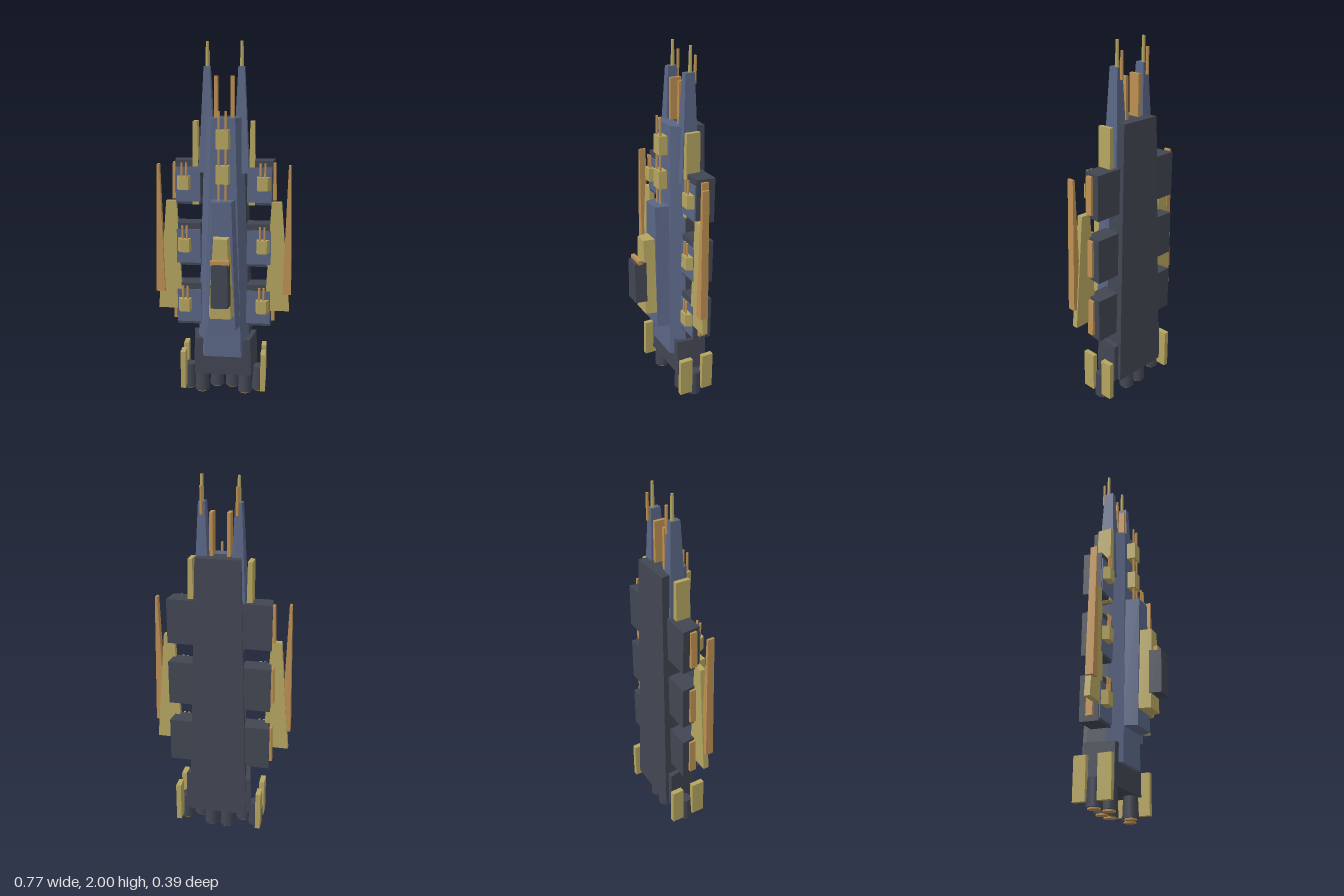
import * as THREE from 'three';

const mat = (name, color) => Object.assign(new THREE.MeshStandardMaterial({ color }), { name });

// Cross-sections: [backX0, backX1, frontX0, frontX1, backZ, frontZ]
const sym = (wBack, wFront, zb, zf) => [-wBack, wBack, -wFront, wFront, zb, zf];
const rect = (x0, x1, zb, zf) => [x0, x1, x0, x1, zb, zf];
const flip = ([a, b, c, d, zb, zf]) => [-b, -a, -d, -c, zb, zf];

// Tapered block between a lower and an upper cross-section
function blockGeometry(y0, low, y1, high) {
  const geo = new THREE.BoxGeometry(1, 1, 1);
  const p = geo.attributes.position;
  for (let i = 0; i < p.count; i++) {
    const up = p.getY(i) > 0, front = p.getZ(i) > 0, right = p.getX(i) > 0;
    const s = up ? high : low;
    p.setXYZ(i, s[(front ? 2 : 0) + (right ? 1 : 0)], up ? y1 : y0, s[front ? 5 : 4]);
  }
  geo.computeVertexNormals();
  return geo;
}

export function createModel() {
  const model = new THREE.Group();
  model.name = 'starship';
  const blue = mat('hull blue', 0x5a6685);
  const dark = mat('dark armour', 0x424652);
  const yellow = mat('pale gold', 0xb5a560);
  const orange = mat('copper', 0xbd9052);

  const add = (name, geo, m) => {
    const mesh = new THREE.Mesh(geo, m);
    mesh.name = name;
    model.add(mesh);
    return mesh;
  };
  const block = (name, m, y0, low, y1, high = low) => add(name, blockGeometry(y0, low, y1, high), m);
  // Same block on both sides; the sections are given for +x
  const pair = (name, m, y0, low, y1, high = low) => {
    block(name + 'Left', m, y0, low, y1, high);
    block(name + 'Right', m, y0, flip(low), y1, flip(high));
  };
  const rod = (name, m, x, z, y0, y1, r0, r1 = r0, sides = 8) =>
    add(name, new THREE.CylinderGeometry(r1, r0, y1 - y0, sides), m).position.set(x, (y0 + y1) / 2, z);

  // Hull: rear armour, spine, stern and raised deck
  block('rearArmour', dark, 0.12, sym(0.163, 0.15, -0.195, -0.07), 1.6, sym(0.118, 0.105, -0.175, -0.07));
  block('spine', blue, 0.24, sym(0.15, 0.105, -0.07, 0.01), 1.6, sym(0.105, 0.065, -0.07, -0.004));
  block('stern', dark, 0.12, sym(0.19, 0.163, -0.175, -0.012), 0.34, sym(0.185, 0.155, -0.172, -0.012));
  block('deck', blue, 0.43, sym(0.105, 0.078, -0.01, 0.077), 1.16, sym(0.07, 0.052, -0.01, 0.077));

  // Bridge tower
  block('bridgeBase', yellow, 0.52, sym(0.072, 0.056, 0.075, 0.14), 0.97, sym(0.045, 0.036, 0.075, 0.14));
  block('bridge', dark, 0.6, sym(0.056, 0.046, 0.13, 0.196), 0.84, sym(0.05, 0.042, 0.13, 0.196));
  block('bridgeBar', orange, 0.835, rect(-0.05, 0.05, 0.155, 0.178), 0.86);

  // Bow prongs, antennas and plates
  pair('prong', blue, 1.3, [0.05, 0.138, 0.05, 0.138, -0.14, -0.04], 1.87, [0.076, 0.11, 0.076, 0.11, -0.118, -0.065]);
  pair('bowPlate', orange, 1.5, rect(0.036, 0.054, -0.122, -0.06), 1.82);
  pair('shoulderFin', yellow, 1.12, rect(0.137, 0.174, -0.125, -0.045), 1.58, rect(0.144, 0.168, -0.125, -0.045));
  for (const s of [-1, 1]) {
    rod('antenna', yellow, s * 0.093, -0.1, 1.8, 2, 0.012, 0.008);
    rod('rearAntenna', orange, s * 0.091, -0.13, 1.81, 1.95, 0.008);
  }

  // Spine turrets with twin barrels
  for (const y of [1.25, 1.44])
    block('spineTurret', yellow, y, sym(0.042, 0.033, -0.01, 0.043), y + 0.1, sym(0.04, 0.032, -0.01, 0.043));
  for (const s of [-1, 1]) rod('spineBarrel', orange, s * 0.019, 0.029, 1.12, 1.64, 0.007, 0.007, 6);

  // Side pods, each with a face plate, side plate and turret
  for (const y of [0.415, 0.768, 1.122]) {
    pair('pod', dark, y, [0.12, 0.28, 0.13, 0.268, -0.152, -0.05], y + 0.245);
    pair('podFace', blue, y + 0.015, rect(0.13, 0.265, -0.052, -0.044), y + 0.21);
    pair('podSidePlate', orange, y + 0.025, rect(0.272, 0.292, -0.111, -0.074), y + 0.23, rect(0.27, 0.286, -0.111, -0.074));
    pair('podTurret', yellow, y + 0.085, [0.183, 0.26, 0.192, 0.243, -0.046, -0.009], y + 0.16);
    for (const s of [-1, 1]) for (const x of [0.204, 0.229])
      rod('podBarrel', orange, s * x, -0.023, y + 0.15, y + 0.235, 0.007, 0.007, 6);
  }

  // Wings and wing spikes
  pair('wing', yellow, 0.51, rect(0.235, 0.375, -0.077, -0.045), 1.14, rect(0.265, 0.322, -0.077, -0.045));
  pair('wingSpike', orange, 0.615, rect(0.334, 0.384, -0.07, -0.026), 1.345, rect(0.355, 0.368, -0.066, -0.028));

  // Stern fins
  pair('frontSternFin', yellow, 0.035, rect(0.217, 0.245, -0.063, 0.012), 0.26);
  pair('rearSternFin', yellow, 0.035, rect(0.217, 0.245, -0.195, -0.127), 0.26);

  // Staggered engines with glowing nozzles
  for (const s of [-1, 1]) for (const [x, z] of [[0.046, -0.133], [0.126, -0.055], [0.205, -0.095]]) {
    rod('engine', dark, s * x, z, 0.008, 0.15, 0.042, 0.036, 14);
    rod('nozzle', orange, s * x, z, 0, 0.01, 0.033, 0.033, 14);
  }
  return model;
}
